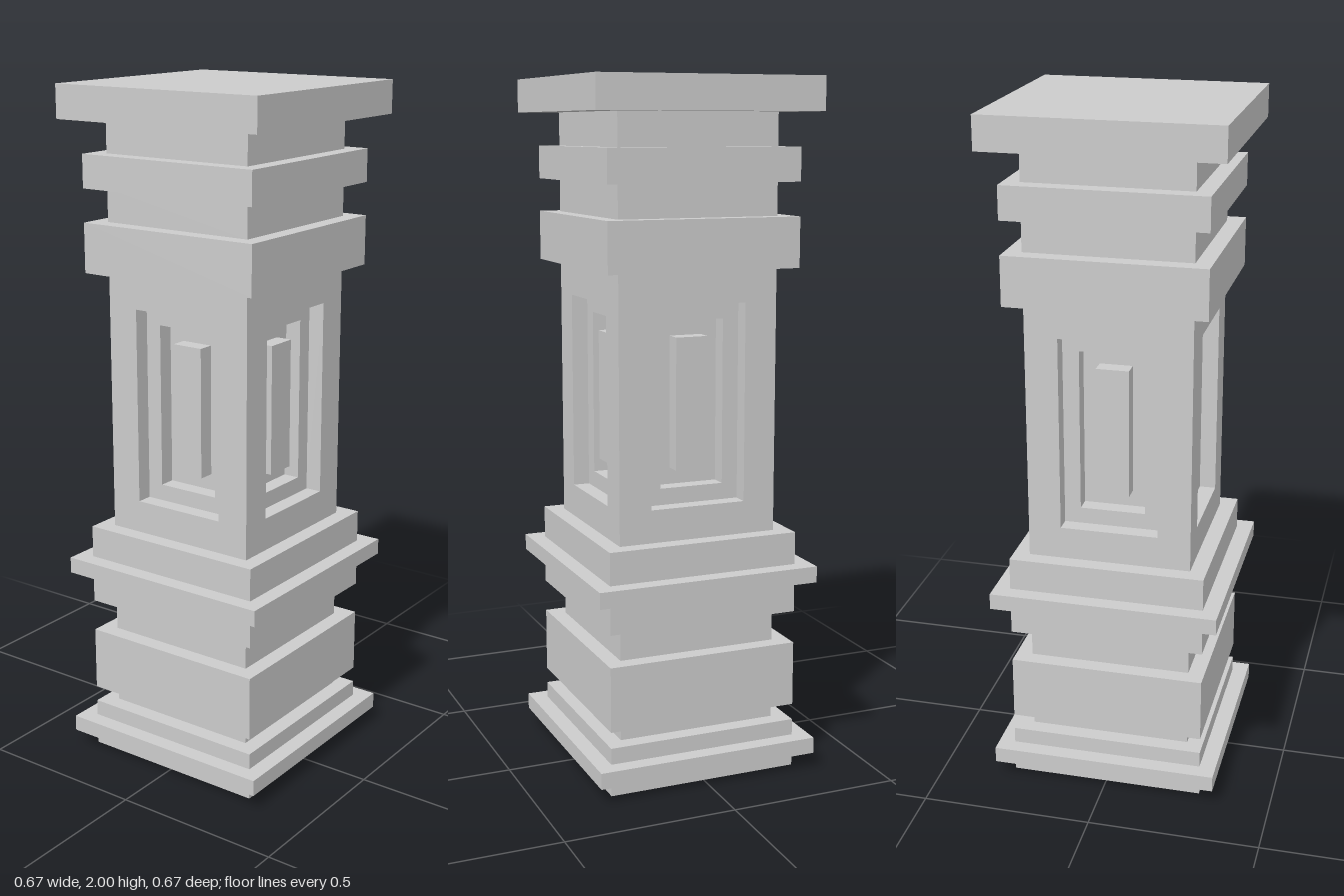
import * as THREE from 'three';

const U = 1 / 21; // the pillar is laid out on a grid, 42 units tall
const material = new THREE.MeshStandardMaterial({ color: 0xcccccc, flatShading: true });

function addMesh(parent, name, geometry) {
  const mesh = new THREE.Mesh(geometry, material);
  mesh.name = name;
  parent.add(mesh);
  return mesh;
}

// Square stepped block; bands are [half width, top] in units, going up from bottom
function steppedBlock(bottom, bands) {
  const points = [new THREE.Vector2(0, bottom * U)];
  let y = bottom;
  for (const [half, top] of bands) {
    const r = half * Math.SQRT2 * U;
    points.push(new THREE.Vector2(r, y * U), new THREE.Vector2(r, top * U));
    y = top;
  }
  points.push(new THREE.Vector2(0, y * U));
  const geometry = new THREE.LatheGeometry(points, 4).rotateY(Math.PI / 4).toNonIndexed();
  geometry.computeVertexNormals();
  return geometry;
}

// Plate one unit thick with a rectangular window, its back at z
function windowPlate(x0, x1, y0, y1, holeHalf, holeY0, holeY1, z) {
  const rect = (path, a, b, c, d) =>
    path.moveTo(a * U, c * U).lineTo(b * U, c * U).lineTo(b * U, d * U).lineTo(a * U, d * U).closePath();
  const shape = rect(new THREE.Shape(), x0, x1, y0, y1);
  shape.holes.push(rect(new THREE.Path(), -holeHalf, holeHalf, holeY0, holeY1));
  return new THREE.ExtrudeGeometry(shape, { depth: U, bevelEnabled: false }).translate(0, 0, z * U);
}

export function createModel() {
  const model = new THREE.Group();
  model.name = 'pillar';

  // Pedestal with plinth and mouldings
  addMesh(model, 'pedestal', steppedBlock(0, [
    [6, 1], [7, 2], [6, 3], [5, 4], [6, 8], [5, 10], [6, 12], [7, 13], [6, 15],
  ]));

  // Shaft: a core, with two layers of framing and a raised panel on each side
  const shaft = new THREE.Group();
  shaft.name = 'shaft';
  model.add(shaft);
  addMesh(shaft, 'shaftCore', new THREE.BoxGeometry(6 * U, 16 * U, 6 * U)).position.y = 23 * U;

  const outer = windowPlate(-5, 4, 15, 31, 3, 17, 29, 4);
  const inner = windowPlate(-4, 3, 15, 31, 2, 18, 28, 3);
  const panel = new THREE.BoxGeometry(2 * U, 8 * U, U).translate(0, 23 * U, 3.5 * U);
  ['front', 'left', 'back', 'right'].forEach((side, i) => {
    const face = new THREE.Group();
    face.name = side + 'Face';
    face.rotation.y = i * Math.PI / 2;
    addMesh(face, 'outerFrame', outer);
    addMesh(face, 'innerFrame', inner);
    addMesh(face, 'raisedPanel', panel);
    shaft.add(face);
  });

  // Capital with mouldings and top slab
  addMesh(model, 'capital', steppedBlock(31, [[6, 34], [5, 36], [6, 38], [5, 40], [7, 42]]));

  return model;
}
